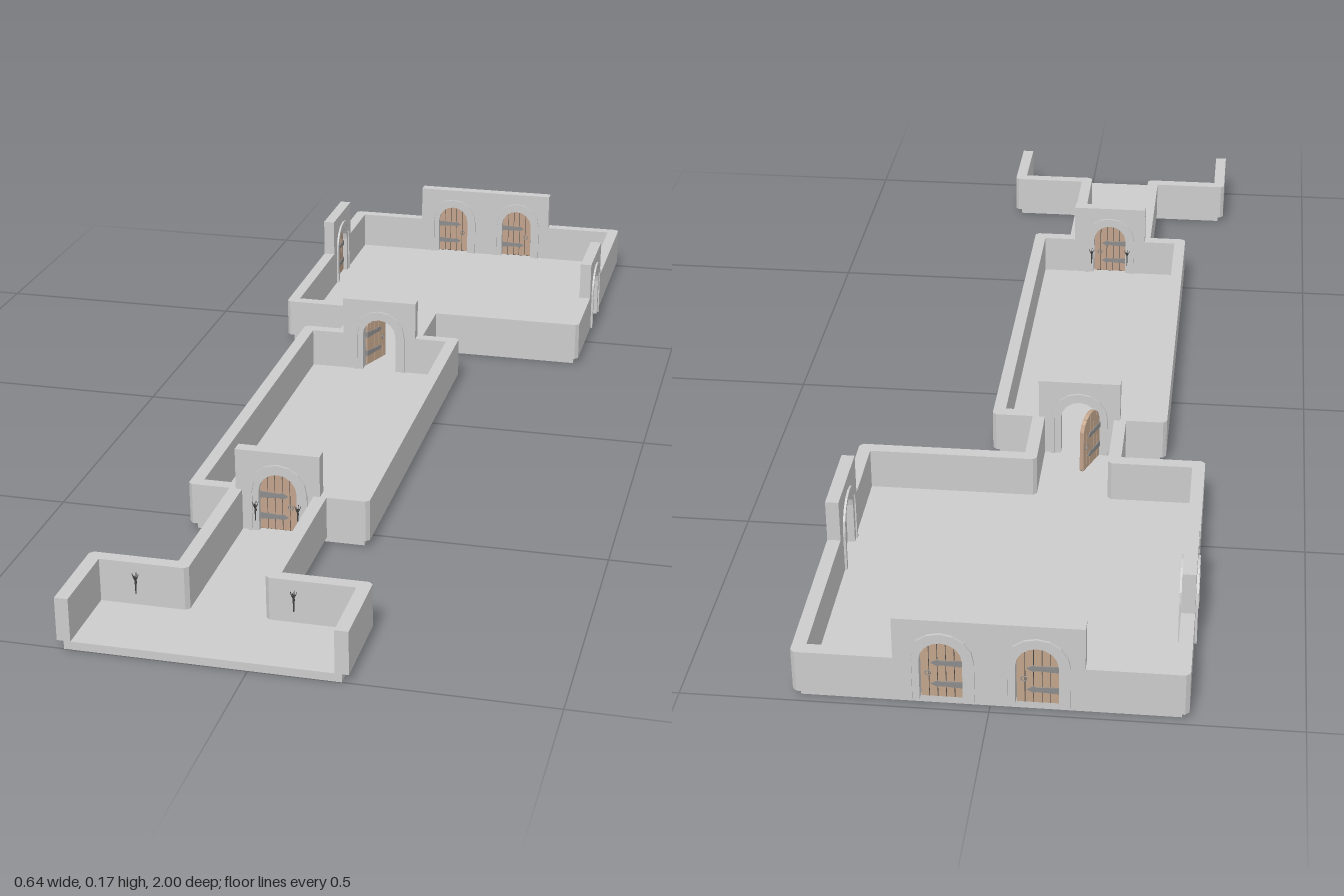
import * as THREE from 'three';

const U = 0.1525;        // floor cell
const FLOOR = 0.0145;    // slab thickness
const WALL_TOP = 0.091, PANEL_TOP = 0.167;
const H = 0.0115;        // half wall thickness
const SPRING = 0.0765;   // arch spring height above the slab
const R_OUT = 0.0535, R_MID = 0.046, R_IN = 0.0345;

const mat = (color) => new THREE.MeshStandardMaterial({ color, flatShading: true, side: THREE.DoubleSide });
const stone = mat(0xcccccc);
const iron = mat(0x8c8c8c);
const darkIron = mat(0x444444);
const wood = mat(0xc2a48c);
const pale = mat(0xffffff);

const V = (x, y) => new THREE.Vector2(x, y);
const zOf = (k) => 1 - k * U;

function mesh(name, geometry, material, parent) {
  const m = new THREE.Mesh(geometry, material);
  m.name = name;
  parent.add(m);
  return m;
}

// Extrusion centred on z = 0
function slab(points, depth) {
  const g = new THREE.ExtrudeGeometry(new THREE.Shape(points), { depth, bevelEnabled: false });
  return g.translate(0, 0, -depth / 2);
}

// Extrusion of a plan outline, upwards from y0 to y1
function raise(points, y0, y1) {
  const g = new THREE.ExtrudeGeometry(new THREE.Shape(points), { depth: y1 - y0, bevelEnabled: false });
  return g.rotateX(-Math.PI / 2).translate(0, y0, 0);
}

// Plan runs in cells (x, rows back from the front); gaps between runs hold door panels
const RUNS = [
  [[1, 0], [1, 1], [0, 1], [0, 3], [0.5, 3], [0.5, 8], [0, 8], [0, 9], [2, 9], [2, 10]],
  [[2, 11], [2, 13], [1, 13]],
  [[-1, 13], [-2, 13], [-2, 12]],
  [[-2, 11], [-2, 9], [-1, 9], [-1, 8], [-1.5, 8], [-1.5, 3], [-1, 3], [-1, 1], [-2, 1], [-2, 0]],
].map((run) => run.map(([x, k]) => V(x * U, -zOf(k))));

// One side of a thick wall; the outside of every corner is chamfered
function offsetSide(path, s) {
  const out = [];
  const dir = (i) => path[i + 1].clone().sub(path[i]).normalize();
  const normal = (d) => V(-d.y, d.x).multiplyScalar(s * H);
  path.forEach((p, i) => {
    const d0 = i > 0 ? dir(i - 1) : null;
    const d1 = i < path.length - 1 ? dir(i) : null;
    if (!d0 || !d1) out.push(p.clone().add(normal(d0 || d1)));
    else if (s * d0.cross(d1) > 0) out.push(p.clone().add(normal(d0)).add(normal(d1)));
    else {
      out.push(p.clone().add(normal(d0)).addScaledVector(d0, H * 0.41));
      out.push(p.clone().add(normal(d1)).addScaledVector(d1, -H * 0.41));
    }
  });
  return out;
}

// Arch outline from the right foot over the top to the left foot
function arch(r, n = 8) {
  const pts = [V(r, 0)];
  for (let i = 0; i <= n; i++) {
    const a = (i / n) * Math.PI;
    pts.push(V(r * Math.cos(a), SPRING + r * Math.sin(a)));
  }
  pts.push(V(-r, 0));
  return pts;
}

const ring = (r0, r1, depth) => slab([...arch(r1), ...arch(r0).reverse()], depth);

// Plank leaf with straps and ring pulls; the hinge edge is at x = 0
function doorLeaf() {
  const leaf = new THREE.Group();
  leaf.name = 'doorLeaf';
  const r = R_IN - 0.0005, n = 5, w = (2 * r) / n;
  const top = (x) => SPRING + Math.sqrt(Math.max(0, r * r - x * x));
  for (let i = 0; i < n; i++) {
    const a = -r + i * w + 0.0006, b = a + w - 0.0012, m = (a + b) / 2;
    const pts = [V(a, 0.001), V(b, 0.001), V(b, top(b)), V(m, top(m)), V(a, top(a))];
    mesh('plank', slab(pts, 0.008).translate(r, 0, 0), wood, leaf);
  }
  mesh('plankBacking', slab(arch(r - 0.001), 0.005).translate(r, 0, 0), darkIron, leaf);
  for (const y of [0.026, 0.067]) {
    const pts = [V(0, y - 0.006), V(0.036, y - 0.004), V(0.041, y - 0.006), V(0.052, y),
      V(0.041, y + 0.006), V(0.036, y + 0.004), V(0, y + 0.006)];
    mesh('hingeStrap', slab(pts, 0.011), iron, leaf);
  }
  for (const s of [-1, 1]) {
    mesh('ringPull', new THREE.TorusGeometry(0.0045, 0.001, 5, 12), iron, leaf).position.set(0.056, 0.047, s * 0.0055);
  }
  return leaf;
}

// Wall cell with an arched doorway
function doorway(name, x, z, turn, kind, parent) {
  const g = new THREE.Group();
  g.name = name;
  g.position.set(x, FLOOR, z);
  g.rotation.y = turn;
  const h = PANEL_TOP - FLOOR;
  mesh('archPanel', slab([V(U / 2, 0), V(U / 2, h), V(-U / 2, h), V(-U / 2, 0), ...arch(R_MID).reverse()], 2 * H), stone, g);
  mesh('outerArchTrim', ring(R_MID, R_OUT, 2 * H + 0.008), stone, g);
  mesh('innerArchTrim', ring(R_IN, R_MID, 2 * H + 0.003), stone, g);
  if (kind === 'pale') {
    mesh('paleInfill', new THREE.ShapeGeometry(new THREE.Shape(arch(R_IN))), pale, g);
  } else {
    const leaf = doorLeaf();
    leaf.position.x = -R_IN;
    if (kind === 'open') {
      leaf.position.z = -H;
      leaf.rotation.y = 1.2;
    }
    g.add(leaf);
  }
  parent.add(g);
}

// Wall torch; the wall surface is at local z = 0
function torch(x, z, turn, parent) {
  const g = new THREE.Group();
  g.name = 'wallTorch';
  g.position.set(x, 0.037, z);
  g.rotation.y = turn;
  mesh('torchStick', new THREE.CylinderGeometry(0.0016, 0.001, 0.026, 6), darkIron, g).position.set(0, 0.013, 0.005);
  mesh('torchCup', new THREE.CylinderGeometry(0.004, 0.0016, 0.005, 6), darkIron, g).position.set(0, 0.027, 0.005);
  mesh('torchBracket', new THREE.BoxGeometry(0.002, 0.003, 0.006), darkIron, g).position.set(0, 0.019, 0.0025);
  for (let i = 0; i < 4; i++) {
    const a = (i / 4) * Math.PI * 2;
    const prong = mesh('torchProng', new THREE.BoxGeometry(0.001, 0.008, 0.001), darkIron, g);
    prong.position.set(0.0042 * Math.cos(a), 0.032, 0.005 + 0.0042 * Math.sin(a));
    prong.rotation.set(0.3 * Math.sin(a), 0, -0.3 * Math.cos(a));
  }
  parent.add(g);
}

export function createModel() {
  const model = new THREE.Group();
  model.name = 'dungeonRooms';

  // Floor under all rooms and passages
  mesh('floor', raise(RUNS.flat(), 0, FLOOR), stone, model);

  // Low walls
  for (const run of RUNS) {
    mesh('wall', raise([...offsetSide(run, 1), ...offsetSide(run, -1).reverse()], FLOOR, WALL_TOP), stone, model);
  }

  // Doorways
  doorway('frontDoorway', -U / 2, zOf(3), 0, 'closed', model);
  doorway('middleDoorway', -U / 2, zOf(8), 0, 'open', model);
  doorway('leftDoorway', 2 * U, zOf(10.5), Math.PI / 2, 'pale', model);
  doorway('rightDoorway', -2 * U, zOf(11.5), -Math.PI / 2, 'closed', model);
  for (const s of [-1, 1]) doorway('backDoorway', s * U / 2, zOf(13), 0, 'closed', model);

  // Torches in the entrance and either side of the front doorway
  for (const x of [-0.23, 0.038]) torch(x, zOf(1) + H, 0, model);
  for (const x of [-0.115, -0.038]) {
    torch(x, zOf(3) + H + 0.004, 0, model);
    torch(x, zOf(3) - H - 0.004, Math.PI, model);
  }
  return model;
}
